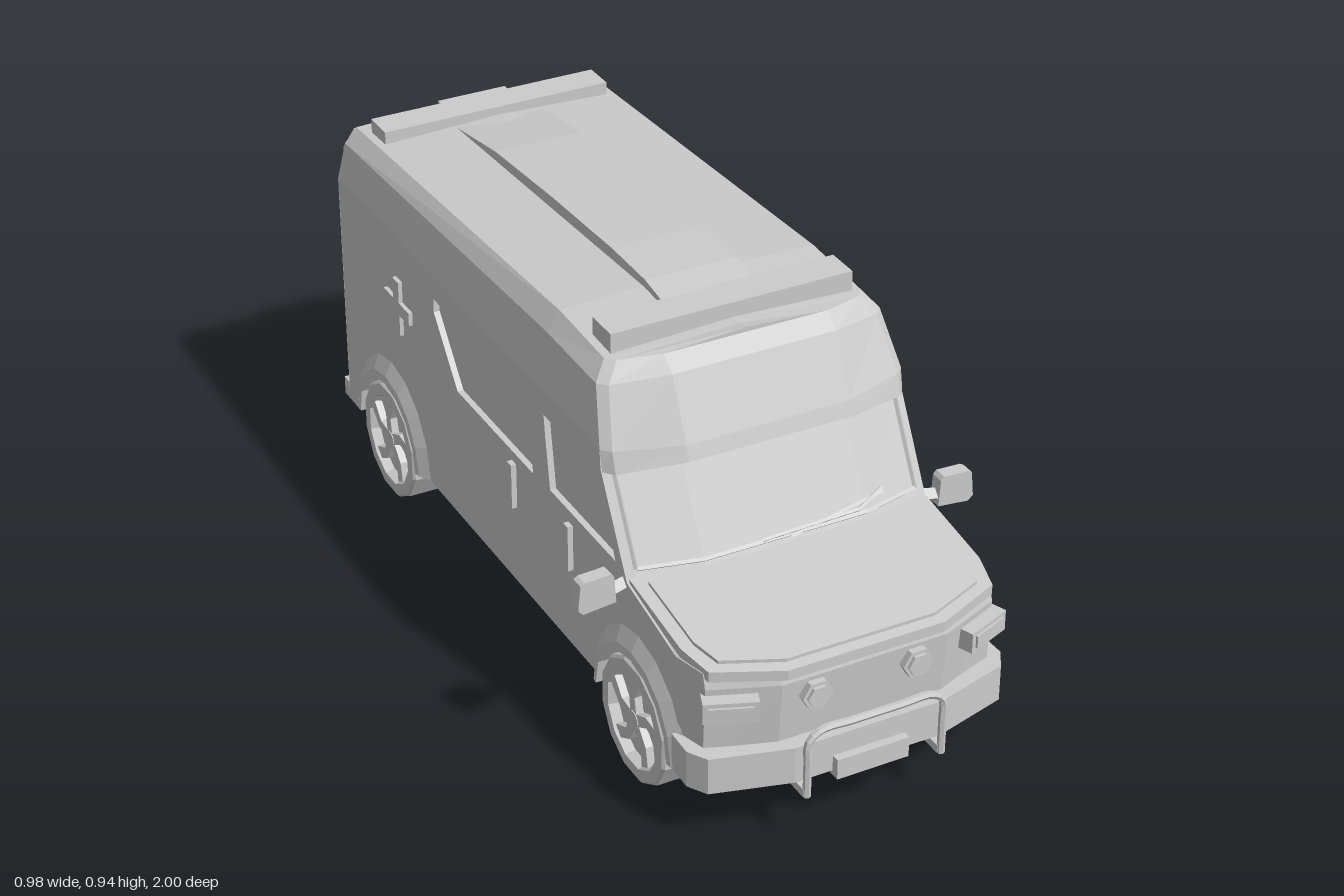
import * as THREE from 'three';

const mat = new THREE.MeshStandardMaterial({ color: 0xcccccc, flatShading: true });
const matDouble = new THREE.MeshStandardMaterial({ color: 0xcccccc, flatShading: true, side: THREE.DoubleSide });

export function createModel() {
  const model = new THREE.Group();

  const add = (geo, name, parent = model, material = mat) => {
    const m = new THREE.Mesh(geo, material);
    m.name = name;
    parent.add(m);
    return m;
  };
  // Box given by its min and max corners
  const box = (name, x0, x1, y0, y1, z0, z1) =>
    add(new THREE.BoxGeometry(x1 - x0, y1 - y0, z1 - z0)
      .translate((x0 + x1) / 2, (y0 + y1) / 2, (z0 + z1) / 2), name);
  const shapeOf = (pts) => new THREE.Shape(pts.map(([a, b]) => new THREE.Vector2(a, b)));
  const extrude = (shape, depth) =>
    new THREE.ExtrudeGeometry(shape, { depth, bevelEnabled: false, curveSegments: 8 });
  // (z, y) outline extruded between two x values, on both flanks
  const flank = (name, shape, x0, x1) => {
    for (const x of [x1, -x0])
      add(extrude(shape, x1 - x0).rotateY(-Math.PI / 2).translate(x, 0, 0), name);
  };
  // (x, z) outline extruded downward from a height
  const plan = (pts, yTop, h) => extrude(shapeOf(pts), h).rotateX(Math.PI / 2).translate(0, yTop, 0);
  const mirrorPts = (half) => [...half, ...half.map(([x, z]) => [-x, z]).reverse()];
  // Surface through rows of [x, y, z] points
  const loft = (rows) => {
    const pos = [];
    for (let i = 0; i + 1 < rows.length; i++)
      for (let j = 0; j + 1 < rows[i].length; j++) {
        const a = rows[i][j], b = rows[i][j + 1], c = rows[i + 1][j + 1], d = rows[i + 1][j];
        pos.push(...a, ...b, ...c, ...a, ...c, ...d);
      }
    const g = new THREE.BufferGeometry();
    g.setAttribute('position', new THREE.Float32BufferAttribute(pos, 3));
    g.computeVertexNormals();
    return g;
  };
  const rod = (name, a, b, r) => {
    const curve = new THREE.LineCurve3(new THREE.Vector3(...a), new THREE.Vector3(...b));
    return add(new THREE.TubeGeometry(curve, 1, r, 4), name, model, matDouble);
  };

  // Body shell: outline rings stacked from floor to roof
  const ring = ({ y, zf, za, zs, w = 0.37, xf = 0.2, inset = 0, dM = 0, dR = 0, dS = 0, flat = 1 }) => {
    const half = [
      [0, y, zf], [xf, y, zf], [w - 0.02, y + dS, za], [w, y + dS, zs],
      [w - inset, y + dS, zs - 0.01], [w - inset, y + dM, 0.15],
      [w - inset, y + dR, -0.945], [w, y + dR, -0.957], [0, y + dR, -0.957],
    ].map(([x, yy, z]) => [x * flat, yy, z]);
    return [...half, ...half.slice(0, -1).reverse().map(([x, yy, z]) => [-x, yy, z])];
  };
  const floor = { y: 0.14, zf: 0.92, za: 0.87, zs: 0.8, inset: 0.015 };
  const roofEdge = { y: 0.9, zf: 0.41, za: 0.38, zs: 0.36, w: 0.315, dM: 0.005, dR: -0.045, dS: -0.005 };
  const levels = [
    { ...floor, flat: 0 }, floor,
    { y: 0.38, zf: 0.94, za: 0.88, zs: 0.8, inset: 0.015 },
    { y: 0.415, zf: 0.93, za: 0.87, zs: 0.79, inset: 0.015 },
    { y: 0.465, zf: 0.61, za: 0.575, zs: 0.568, inset: 0.015 },
    { y: 0.69, zf: 0.49, za: 0.455, zs: 0.448, inset: 0.015, dS: -0.005 },
    { y: 0.695, zf: 0.527, za: 0.48, zs: 0.455, inset: 0.015, dS: -0.015 },
    { y: 0.73, zf: 0.515, za: 0.465, zs: 0.445 },
    { y: 0.87, zf: 0.45, za: 0.405, zs: 0.385, w: 0.347, dM: -0.01, dR: -0.05, dS: -0.015 },
    roofEdge, { ...roofEdge, y: 0.912, flat: 0 },
  ];
  add(loft(levels.map(ring)), 'bodyShell');

  // Flank skins with window openings and wheel cut-outs
  const WHEELS = [0.62, -0.675], AXLE = 0.145, ARCH = 0.165;
  const skin = new THREE.Shape();
  skin.moveTo(-0.955, 0.14);
  for (const z of [...WHEELS].reverse()) {
    skin.lineTo(z - ARCH, 0.14);
    skin.absarc(z, 0.14, ARCH, Math.PI, 0, true);
  }
  [[0.8, 0.14], [0.8, 0.38], [0.79, 0.415], [0.568, 0.465], [0.448, 0.685], [0.445, 0.73], [-0.955, 0.73]]
    .forEach(([z, y]) => skin.lineTo(z, y));
  const windows = [
    [[0.515, 0.49], [0.435, 0.67], [0.174, 0.67], [0.18, 0.62], [0.2, 0.49]],
    [[0.115, 0.485], [0.08, 0.67], [-0.405, 0.67], [-0.405, 0.635], [-0.285, 0.485]],
  ];
  windows.forEach((w) => skin.holes.push(shapeOf(w)));
  flank('sidePanel', skin, 0.355, 0.37);

  // Cross emblems and side door handles
  const c = 0.017, L = 0.072;
  const cross = [[c, c], [c, L], [-c, L], [-c, c], [-L, c], [-L, -c], [-c, -c], [-c, -L], [c, -L], [c, -c], [L, -c], [L, c]];
  flank('sideCross', shapeOf(cross.map(([z, y]) => [z - 0.605, y + 0.552])), 0.365, 0.38);
  for (const z of [0.3, 0.015])
    flank('sideDoorHandle', shapeOf([[z - 0.011, 0.345], [z + 0.011, 0.345], [z + 0.011, 0.46], [z - 0.011, 0.46]]), 0.365, 0.383);

  // Wheel arch flares and wheels
  for (const s of [1, -1]) for (const [n, wz] of WHEELS.entries()) {
    const arc = (x, rz, ry) => Array.from({ length: 9 }, (_, k) => {
      const a = (k / 8) * Math.PI;
      return [s * x, 0.14 + ry * Math.sin(a), wz + rz * Math.cos(a)];
    });
    add(loft([arc(0.355, ARCH, ARCH), arc(0.39, ARCH, ARCH), arc(0.388, 0.18, 0.185), arc(0.368, 0.215, 0.225)]),
      'wheelArch', model, matDouble);

    const wheel = new THREE.Group();
    wheel.name = n ? 'rearWheel' : 'frontWheel';
    const profile = [[0, -0.058], [0.15, -0.058], [0.15, 0.052], [0.144, 0.058], [0.116, 0.058], [0.108, 0.035], [0, 0.035]];
    add(new THREE.LatheGeometry(profile.map((p) => new THREE.Vector2(...p)), 12, Math.PI / 12), 'tyre', wheel);
    add(new THREE.CylinderGeometry(0.022, 0.028, 0.02, 10).translate(0, 0.045, 0), 'hub', wheel);
    for (let k = 0; k < 5; k++) {
      const spoke = [[0.01, -0.016], [0.065, -0.022], [0.108, -0.002], [0.104, 0.03], [0.06, 0.004], [0.01, 0.014]];
      add(plan(spoke, 0.053, 0.02).rotateY((k * 2 * Math.PI) / 5), 'spoke', wheel);
    }
    wheel.rotation.z = -s * Math.PI / 2;
    wheel.position.set(s * 0.329, AXLE, wz);
    model.add(wheel);
  }

  // Bonnet lid with a raised inner panel, both tilted to the bonnet slope
  const bonnet = (name, half, lift, h) => {
    const g = plan(mirrorPts(half), 0, h);
    const p = g.attributes.position;
    for (let i = 0; i < p.count; i++) p.setY(i, p.getY(i) + 0.415 + lift + (0.93 - p.getZ(i)) * 0.15);
    g.computeVertexNormals();
    add(g, name);
  };
  bonnet('bonnetLid', [[0.365, 0.57], [0.365, 0.8], [0.345, 0.885], [0.19, 0.945]], 0.005, 0.025);
  bonnet('bonnetPanel', [[0.335, 0.6], [0.335, 0.8], [0.315, 0.87], [0.18, 0.92]], 0.013, 0.02);

  // Windscreen surround and wiper, following the bent screen
  const screen = (x, y) => [x, y, 0.61 - 0.12 * (y - 0.465) / 0.225 - 0.035 * Math.max(0, Math.abs(x) - 0.2) / 0.15];
  const surround = [[-0.345, 0.49], [-0.2, 0.49], [0.2, 0.49], [0.345, 0.49], [0.345, 0.675], [0.2, 0.685], [-0.2, 0.685], [-0.345, 0.675]];
  surround.forEach((p, i) => rod('windscreenSurround', screen(...p), screen(...surround[(i + 1) % 8]), 0.006));
  const out = ([x, y, z]) => [x, y, z + 0.012];
  [[-0.06, 0.5], [0.18, 0.505], [0.25, 0.527]].forEach((p, i, a) => {
    if (i) rod('wiperArm', out(screen(...a[i - 1])), out(screen(...p)), 0.005);
  });
  rod('wiperBlade', out(screen(0.01, 0.492)), out(screen(0.25, 0.52)), 0.004);

  // Front bumper, number plate and guard bar
  add(plan(mirrorPts([[0.385, 0.8], [0.387, 0.87], [0.36, 0.915], [0.18, 0.965]]), 0.228, 0.09), 'frontBumper');
  box('frontPlate', -0.088, 0.088, 0.127, 0.177, 0.95, 0.985);
  const guardHalf = [[0.165, 0.115], [0.165, 0.2], [0.163, 0.255], [0.135, 0.277], [0.06, 0.277]];
  const guardPts = [...guardHalf, ...guardHalf.map(([x, y]) => [-x, y]).reverse()].map(([x, y]) => new THREE.Vector3(x, y, 0.991));
  add(new THREE.TubeGeometry(new THREE.CatmullRomCurve3(guardPts), 40, 0.009, 6), 'guardBar', model, matDouble);

  for (const s of [1, -1]) {
    box('guardBracket', s * 0.165 - 0.009, s * 0.165 + 0.009, 0.115, 0.135, 0.9, 0.99);

    // Headlamp with inner lens, and hexagonal auxiliary lamp
    const lamp = new THREE.Group();
    lamp.name = 'headlamp';
    add(new THREE.BoxGeometry(0.12, 0.05, 0.06), 'lampHousing', lamp);
    add(new THREE.BoxGeometry(0.095, 0.03, 0.07), 'lampLens', lamp);
    lamp.position.set(s * 0.303, 0.34, 0.9);
    lamp.rotation.y = s * 0.38;
    model.add(lamp);
    for (const [r, z] of [[0.037, 0.955], [0.028, 0.963]])
      add(new THREE.CylinderGeometry(r, r, 0.03, 6).rotateY(Math.PI / 6).rotateX(Math.PI / 2)
        .translate(s * 0.122, 0.338, z - 0.015), 'auxiliaryLamp');

    // Door mirror on its arm
    const mirror = [[0.4, 0.432], [0.478, 0.424], [0.49, 0.436], [0.484, 0.497], [0.474, 0.503], [0.412, 0.506], [0.404, 0.497]];
    add(extrude(shapeOf(mirror.map(([x, y]) => [s * x, y])), 0.034).translate(0, 0, 0.543), 'mirrorHead');
    rod('mirrorArm', [s * 0.355, 0.455, 0.545], [s * 0.42, 0.45, 0.56], 0.018);

    // Rear door with window opening and handle
    const door = shapeOf([[0.008, 0.2], [0.3, 0.2], [0.3, 0.815], [0.008, 0.815]].map(([x, y]) => [s * x, y]));
    door.holes.push(shapeOf([[0.04, 0.5], [0.272, 0.5], [0.272, 0.775], [0.04, 0.775]].map(([x, y]) => [s * x, y])));
    add(extrude(door, 0.014).translate(0, 0, -0.968), 'rearDoor');
    box('rearDoorHandle', s * 0.045 - 0.012, s * 0.045 + 0.012, 0.34, 0.445, -0.992, -0.96);
  }

  // Rear door frame, top lamp and step
  const frame = shapeOf([[-0.345, 0.17], [0.345, 0.17], [0.345, 0.8], [0.315, 0.845], [-0.315, 0.845], [-0.345, 0.8]]);
  frame.holes.push(shapeOf([[-0.308, 0.192], [0.308, 0.192], [0.308, 0.823], [-0.308, 0.823]]));
  add(extrude(frame, 0.022).translate(0, 0, -0.974), 'rearDoorFrame');
  box('rearTopLamp', -0.09, 0.09, 0.825, 0.865, -0.978, -0.935);
  box('rearStep', -0.365, 0.365, 0.1, 0.148, -1, -0.91);

  // Raised roof panel and light bars
  const ridge = [[0.27, 0.895], [0.25, 0.917], [0.16, 0.932], [0, 0.934], [-0.3, 0.922], [-0.6, 0.902], [-0.82, 0.868], [-0.82, 0.85]];
  add(extrude(shapeOf(ridge), 0.226).rotateY(-Math.PI / 2).translate(0.113, 0, 0), 'roofPanel');
  box('frontLightBar', -0.295, 0.295, 0.895, 0.943, 0.268, 0.352);
  box('rearLightBar', -0.295, 0.295, 0.845, 0.893, -0.91, -0.828);

  return model;
}
